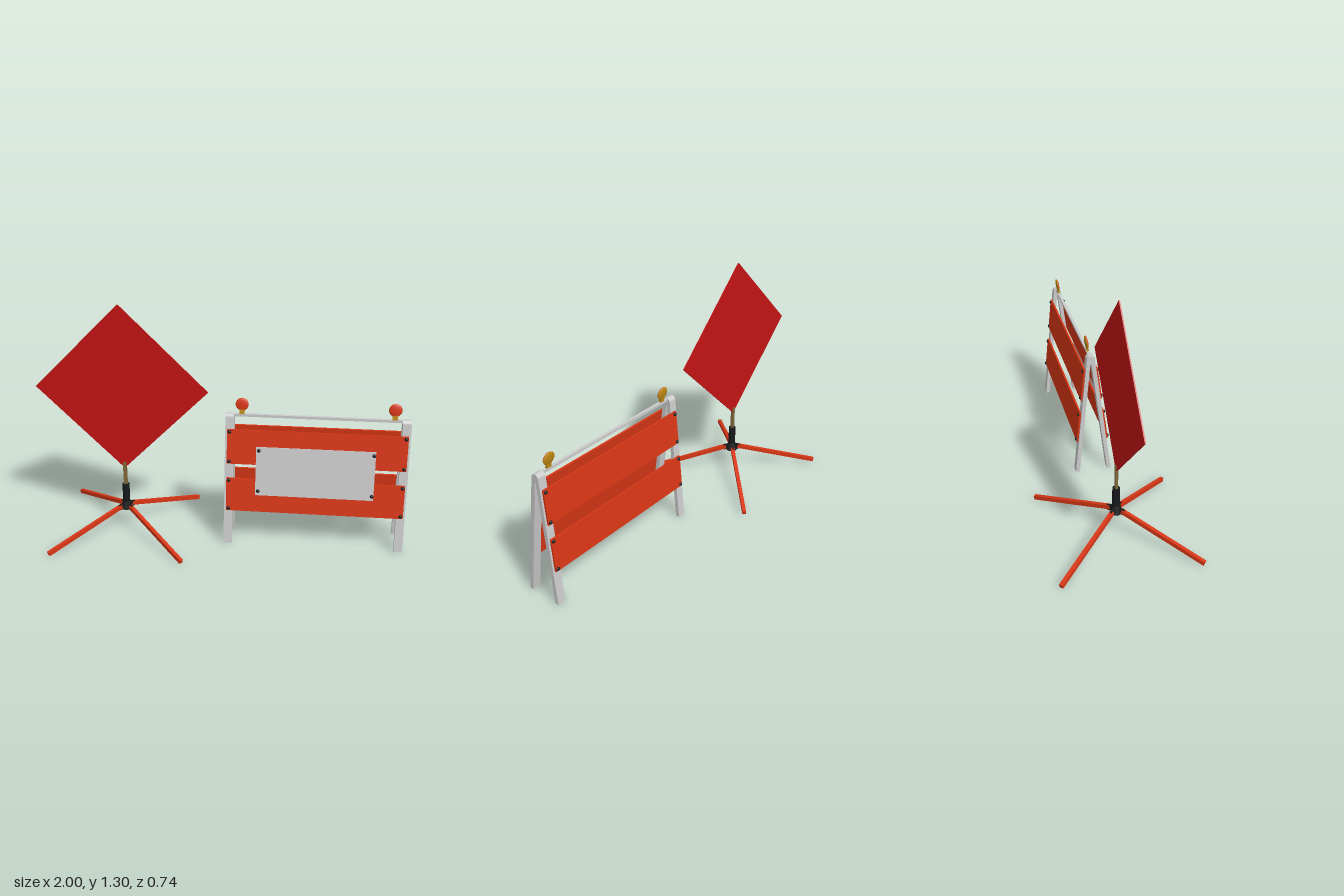
import * as THREE from 'three';

const paint = (color) => new THREE.MeshStandardMaterial({ color });
const grey = paint(0xcccccc), orange = paint(0xd83616), red = paint(0xc41414);
const black = paint(0x16191b), brass = paint(0x80693a), amber = paint(0xc08a14);

function add(parent, name, geometry, material, x = 0, y = 0, z = 0) {
  const mesh = new THREE.Mesh(geometry, material);
  mesh.name = name;
  mesh.position.set(x, y, z);
  parent.add(mesh);
  return mesh;
}
const box = (w, h, d) => new THREE.BoxGeometry(w, h, d);

// Diamond sign on a four-legged folding stand
function makeSignStand() {
  const g = new THREE.Group();
  g.name = 'signStand';
  const side = 0.465 * Math.SQRT2;
  add(g, 'diamondPanel', box(side, side, 0.006), red, 0, 0.84, 0).rotation.z = Math.PI / 4;
  add(g, 'mast', box(0.02, 0.15, 0.014), brass, 0, 0.335, 0);
  add(g, 'socket', new THREE.CylinderGeometry(0.02, 0.02, 0.14, 16), black, 0, 0.205, 0);
  add(g, 'hub', new THREE.CylinderGeometry(0.021, 0.035, 0.045, 8), black, 0, 0.147, 0);

  const from = new THREE.Vector3(0.035, 0.143, 0), to = new THREE.Vector3(0.508, 0.017, 0);
  const length = from.distanceTo(to), slope = Math.atan2(to.y - from.y, to.x - from.x);
  for (let i = 0; i < 4; i++) {
    const leg = new THREE.Group();
    leg.name = 'standLeg';
    leg.rotation.y = Math.PI / 4 + i * Math.PI / 2;
    const mid = from.clone().add(to).multiplyScalar(0.5);
    add(leg, 'legTube', box(length, 0.022, 0.02), orange, mid.x, mid.y, 0).rotation.z = slope;
    add(leg, 'legBracket', box(0.05, 0.03, 0.012), black, 0.025, 0.143, 0).rotation.z = slope;
    g.add(leg);
  }
  return g;
}

// Rounded, upside-down V profile drawn in z and y, extruded along x
function frameGeometry(width) {
  const s = new THREE.Shape();
  s.moveTo(0.115, 0);
  s.lineTo(0.0225, 0.712);
  s.absarc(0, 0.709, 0.0225, 0.13, Math.PI - 0.09, false);
  s.lineTo(-0.088, 0);
  s.lineTo(-0.066, 0);
  s.lineTo(-0.003, 0.685);
  s.lineTo(0.003, 0.685);
  s.lineTo(0.094, 0);
  s.closePath();
  const geo = new THREE.ExtrudeGeometry(s, { depth: width, bevelEnabled: false, curveSegments: 12 });
  return geo.translate(0, 0, -width / 2).rotateY(-Math.PI / 2);
}

function addBolts(parent, halfWidth, ys, z) {
  const geo = new THREE.SphereGeometry(0.01, 12, 8).scale(1, 1, 0.8);
  for (const x of [-halfWidth, halfWidth]) for (const y of ys) add(parent, 'bolt', geo, black, x, y, z);
}

// Boards lying on one sloping face of the frames; local +z points outwards
function makeFace(name, footZ, spread, turn) {
  const g = new THREE.Group();
  g.name = name;
  const tilt = Math.atan2(spread, 0.71);
  g.rotation.order = 'YXZ';
  g.rotation.set(-tilt, turn, 0);
  g.position.z = footZ;
  for (const [low, high] of [[0.195, 0.38], [0.46, 0.65]]) {
    const a = low / Math.cos(tilt), b = high / Math.cos(tilt);
    add(g, 'board', box(0.95, b - a, 0.01), orange, 0, (a + b) / 2, 0.005);
    addBolts(g, 0.462, [a + 0.013, b - 0.013], 0.011);
  }
  return g;
}

// Warning lamp: post, flat housing and lens, leaning back slightly
function makeLamp() {
  const g = new THREE.Group();
  g.name = 'warningLamp';
  g.rotation.x = -0.13;
  add(g, 'lampPost', box(0.028, 0.05, 0.012), amber, 0, 0.02, 0);
  const disc = new THREE.SphereGeometry(0.035, 24, 12);
  add(g, 'lampHousing', disc.clone().scale(1, 1, 0.22), amber, 0, 0.052, -0.001);
  add(g, 'lampLens', disc.clone().scale(0.97, 0.97, 0.2), orange, 0, 0.052, 0.002);
  return g;
}

function makeBarricade() {
  const g = new THREE.Group();
  g.name = 'barricade';
  const frame = frameGeometry(0.046);
  for (const x of [-0.463, 0.463]) add(g, 'sideFrame', frame, grey, x);
  add(g, 'topRail', box(0.9, 0.014, 0.016), grey, 0, 0.722, 0);

  const front = makeFace('frontBoards', 0.115, 0.093, 0);
  add(front, 'noticePlate', box(0.63, 0.272, 0.006), grey, -0.003, 0.43, 0.013);
  addBolts(front, 0.303, [0.318, 0.546], 0.017);
  g.add(front, makeFace('backBoards', -0.088, 0.066, Math.PI));

  for (const x of [-0.4, 0.4]) {
    const lamp = makeLamp();
    lamp.position.set(x, 0.728, 0);
    g.add(lamp);
  }
  return g;
}

export function createModel() {
  const model = new THREE.Group();
  model.name = 'roadworkSet';
  const stand = makeSignStand(), barricade = makeBarricade();
  stand.position.x = -0.535;
  barricade.position.x = 0.51;
  model.add(stand, barricade);
  return model;
}
